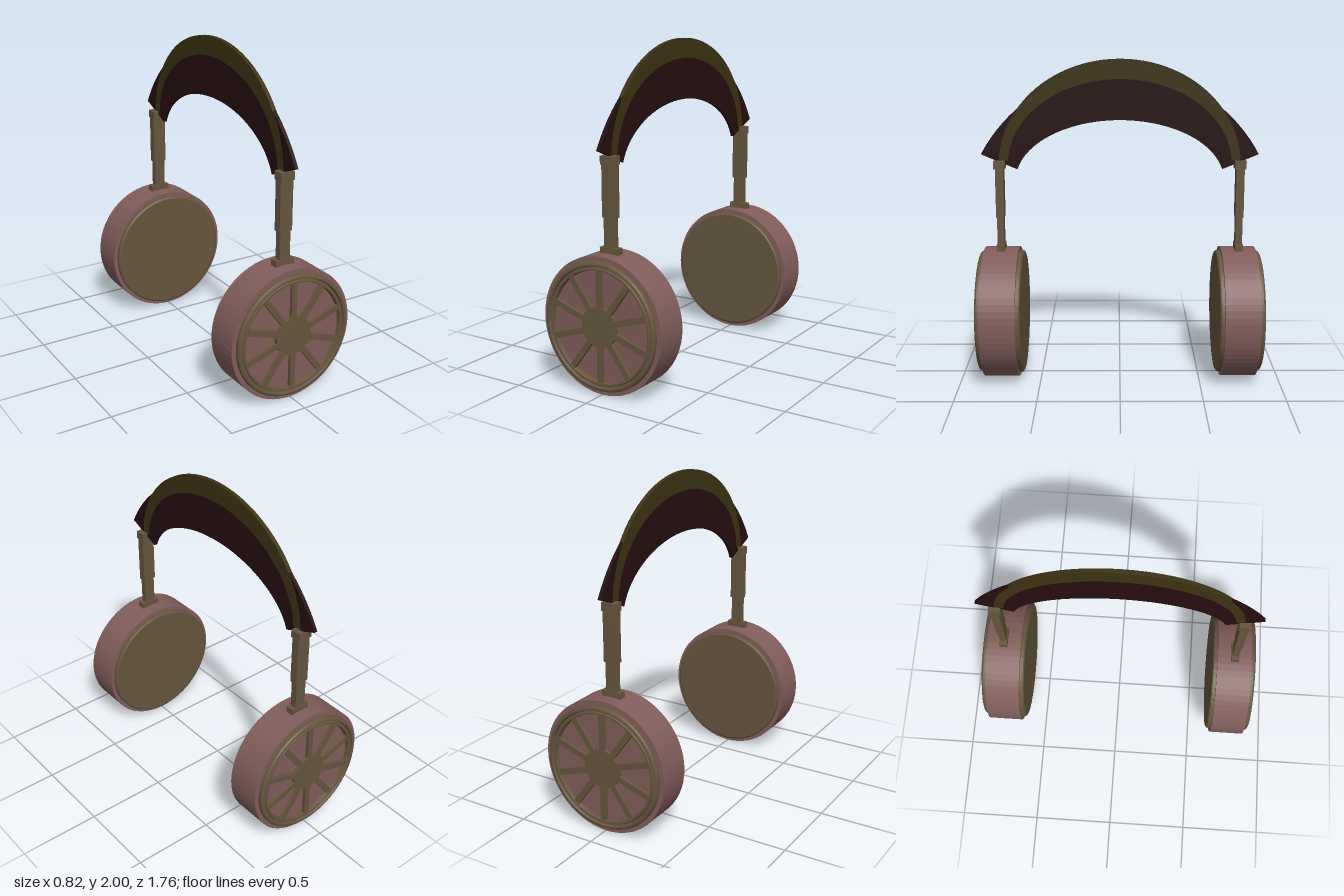
import * as THREE from 'three';

const material = (name, color) => {
  const m = new THREE.MeshStandardMaterial({ color });
  m.name = name;
  return m;
};

export function createModel() {
  const rose = material('rose shell', 0x805d5a);
  const bronze = material('bronze metal', 0x65553e);
  const olive = material('olive band', 0x3d3213);
  const maroon = material('dark maroon leather', 0x260e0f);

  const model = new THREE.Group();
  model.name = 'headphones';

  const add = (parent, name, geometry, mat, x = 0, y = 0, z = 0) => {
    const mesh = new THREE.Mesh(geometry, mat);
    mesh.name = name;
    mesh.position.set(x, y, z);
    parent.add(mesh);
    return mesh;
  };

  // Faceted solid of revolution about the z axis, from [radius, z] pairs
  const turned = (profile, segments = 64) => {
    const g = new THREE.LatheGeometry(profile.map(([r, z]) => new THREE.Vector2(r, z)), segments)
      .rotateX(Math.PI / 2).toNonIndexed();
    g.computeVertexNormals();
    return g;
  };

  // Flat arch in the z-y plane between two upper curves, extruded along x
  const arch = (outer, inner, width) => {
    const shape = new THREE.Shape([...outer, ...inner.reverse()]);
    return new THREE.ExtrudeGeometry(shape, { depth: width, bevelEnabled: false })
      .translate(0, 0, -width / 2).rotateY(-Math.PI / 2);
  };
  // Part of an ellipse centred at z = 0, from z = +end to z = -end
  const curve = (centerY, a, b, end) => {
    const t0 = Math.acos(end / a);
    return Array.from({ length: 49 }, (_, i) => {
      const t = t0 + (Math.PI - 2 * t0) * i / 48;
      return new THREE.Vector2(a * Math.cos(t), centerY + b * Math.sin(t));
    });
  };

  // Headband: wide leather strap with a tapering arch laid over it
  add(model, 'headbandStrap', arch(curve(0.957, 0.972, 0.972, 0.855), curve(1.25, 0.645, 0.38, 0.632), 0.022), maroon);
  add(model, 'headbandArch', arch(curve(1.35, 0.745, 0.65, 0.744), curve(1.35, 0.69, 0.53, 0.689), 0.026), olive);

  // One complete side, used at the front and turned round for the back
  const buildSide = (name) => {
    const side = new THREE.Group();
    side.name = name;
    model.add(side);

    // Telescoping slider
    const box = (part, w, y0, y1, d) =>
      add(side, part, new THREE.BoxGeometry(w, y1 - y0, d), bronze, 0, (y0 + y1) / 2, 0.743);
    box('sliderCap', 0.09, 1.33, 1.38, 0.07);
    box('sliderSleeve', 0.086, 1.025, 1.33, 0.05);
    box('sliderRod', 0.07, 0.8, 1.025, 0.042);
    box('sliderFoot', 0.125, 0.8, 0.853, 0.05);

    // Ear cup
    const cup = new THREE.Group();
    cup.name = 'earCup';
    cup.position.y = 0.41;
    side.add(cup);
    add(cup, 'cupShell', turned([[0, 0.633], [0.41, 0.633], [0.41, 0.85], [0, 0.85]]), rose);
    add(cup, 'earPad', turned([[0, 0.605], [0.375, 0.605], [0.385, 0.612], [0.385, 0.634]]), bronze);

    // Grille: grooved rim, hub and ten spokes
    add(cup, 'grilleRim', turned([
      [0.382, 0.849], [0.382, 0.868], [0.377, 0.876], [0.368, 0.88], [0.36, 0.88], [0.355, 0.866],
      [0.349, 0.866], [0.345, 0.875], [0.334, 0.875], [0.328, 0.849],
    ]), bronze);
    add(cup, 'grilleHub', turned([[0.12, 0.849], [0.12, 0.873], [0, 0.873]], 20), bronze);
    for (let i = 0; i < 10; i++) {
      const spoke = new THREE.BoxGeometry(0.036, 0.24, 0.022).translate(0, 0.22, 0.86);
      add(cup, 'grilleSpoke', spoke, bronze).rotation.z = i * Math.PI / 5;
    }
    return side;
  };
  buildSide('frontSide');
  buildSide('backSide').rotation.y = Math.PI;

  return model;
}
